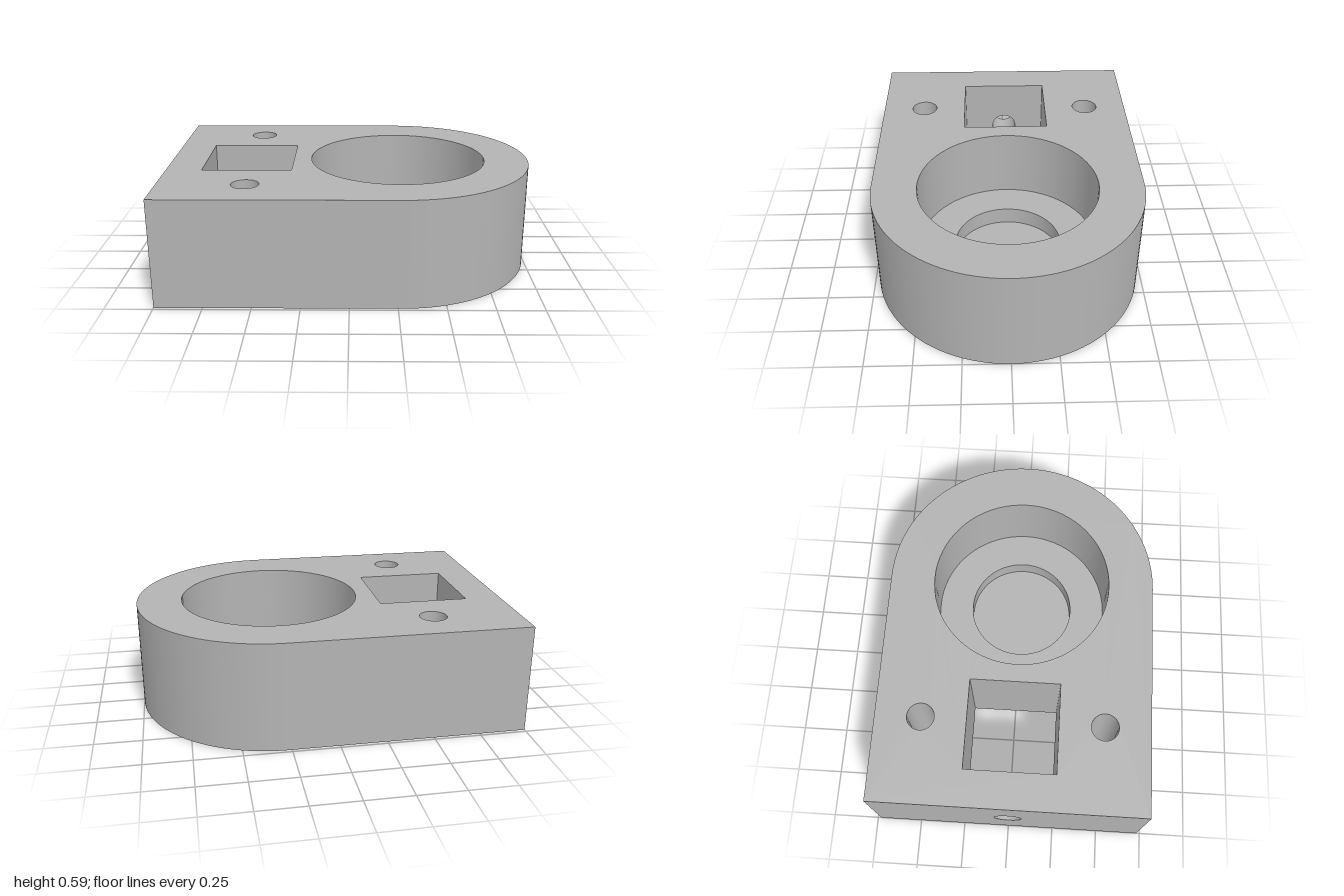
import * as THREE from 'three';

const U = 2 / 41;            // one design unit
const H = 12 * U;            // block height
const R = 15 * U;            // rounded end radius, half depth
const CX = 1 - R;            // centre of rounded end and pocket
const POCKET = 10 * U, POCKET_Y = 4 * U;
const RECESS = 6 * U, RECESS_Y = 2 * U;
const SQ = 5 * U, SQ_X = -0.561;              // square window half size and centre
const BORE = 1.5 * U, BORE_X = -0.54, BORE_Z = 10 * U;

export function createModel() {
  const group = new THREE.Group();
  const steel = new THREE.MeshStandardMaterial({ color: 0xb3b3b3 });
  steel.name = 'grey metal';

  const add = (name, geometry, x = 0, y = 0, z = 0) => {
    const mesh = new THREE.Mesh(geometry, steel);
    mesh.name = name;
    mesh.position.set(x, y, z);
    group.add(mesh);
  };
  const circle = (x, y, r) => new THREE.Path().absarc(x, y, r, 0, Math.PI * 2, true);
  const rect = (w, h, PathType) => new PathType([
    [-w, -h], [w, -h], [w, h], [-w, h]].map(([x, y]) => new THREE.Vector2(x, y)));
  // surface turned about its axis: falling profiles face inward, shrinking ones face up
  const turned = (r0, y0, r1, y1) => new THREE.LatheGeometry(
    [new THREE.Vector2(r0, y0), new THREE.Vector2(r1, y1)], 72);

  // top and bottom faces share the rounded outline and through holes
  const face = (withPocket) => {
    const s = new THREE.Shape();
    s.moveTo(-1, -R).lineTo(CX, -R);
    s.absarc(CX, 0, R, -Math.PI / 2, Math.PI / 2, false);
    s.lineTo(-1, R);
    s.closePath();
    const window = new THREE.Path([[-1, -1], [-1, 1], [1, 1], [1, -1]].map(
      ([x, y]) => new THREE.Vector2(SQ_X + x * SQ, y * SQ)));
    s.holes.push(window, circle(BORE_X, BORE_Z, BORE), circle(BORE_X, -BORE_Z, BORE));
    if (withPocket) s.holes.push(circle(CX, 0, POCKET));
    return new THREE.ShapeGeometry(s, 36);
  };
  add('topFace', face(true).rotateX(-Math.PI / 2), 0, H);
  add('bottomFace', face(false).rotateX(Math.PI / 2));

  // outer walls
  const length = CX + 1;
  add('frontWall', new THREE.PlaneGeometry(length, H), (CX - 1) / 2, H / 2, R);
  add('backWall', new THREE.PlaneGeometry(length, H).rotateY(Math.PI), (CX - 1) / 2, H / 2, -R);
  add('roundedEnd', new THREE.CylinderGeometry(R, R, H, 72, 1, true, 0, Math.PI), CX, H / 2);

  // flat end and window wall, both pierced by the cross bore
  const piercedWall = (halfWidth) => {
    const s = rect(halfWidth, H / 2, THREE.Shape);
    s.holes.push(circle(0, 0, BORE));
    return new THREE.ShapeGeometry(s, 36);
  };
  const left = SQ_X - SQ;
  add('flatEnd', piercedWall(R).rotateY(-Math.PI / 2), -1, H / 2);
  add('windowPiercedWall', piercedWall(SQ).rotateY(Math.PI / 2), left, H / 2);
  add('crossBore', turned(BORE, 1, BORE, -left).rotateZ(Math.PI / 2), 0, H / 2);

  // remaining square window walls
  const plain = () => new THREE.PlaneGeometry(SQ * 2, H);
  add('windowInnerWall', plain().rotateY(-Math.PI / 2), SQ_X + SQ, H / 2);
  add('windowFrontWall', plain().rotateY(Math.PI), SQ_X, H / 2, SQ);
  add('windowBackWall', plain(), SQ_X, H / 2, -SQ);

  // vertical through bores
  for (const side of [-1, 1]) {
    add('verticalBore', turned(BORE, H, BORE, 0), BORE_X, 0, side * BORE_Z);
  }

  // stepped round pocket
  add('pocketWall', turned(POCKET, H, POCKET, POCKET_Y), CX);
  add('pocketLedge', turned(POCKET, POCKET_Y, RECESS, POCKET_Y), CX);
  add('recessWall', turned(RECESS, POCKET_Y, RECESS, RECESS_Y), CX);
  add('recessFloor', new THREE.CircleGeometry(RECESS, 72).rotateX(-Math.PI / 2), CX, RECESS_Y);

  return group;
}
